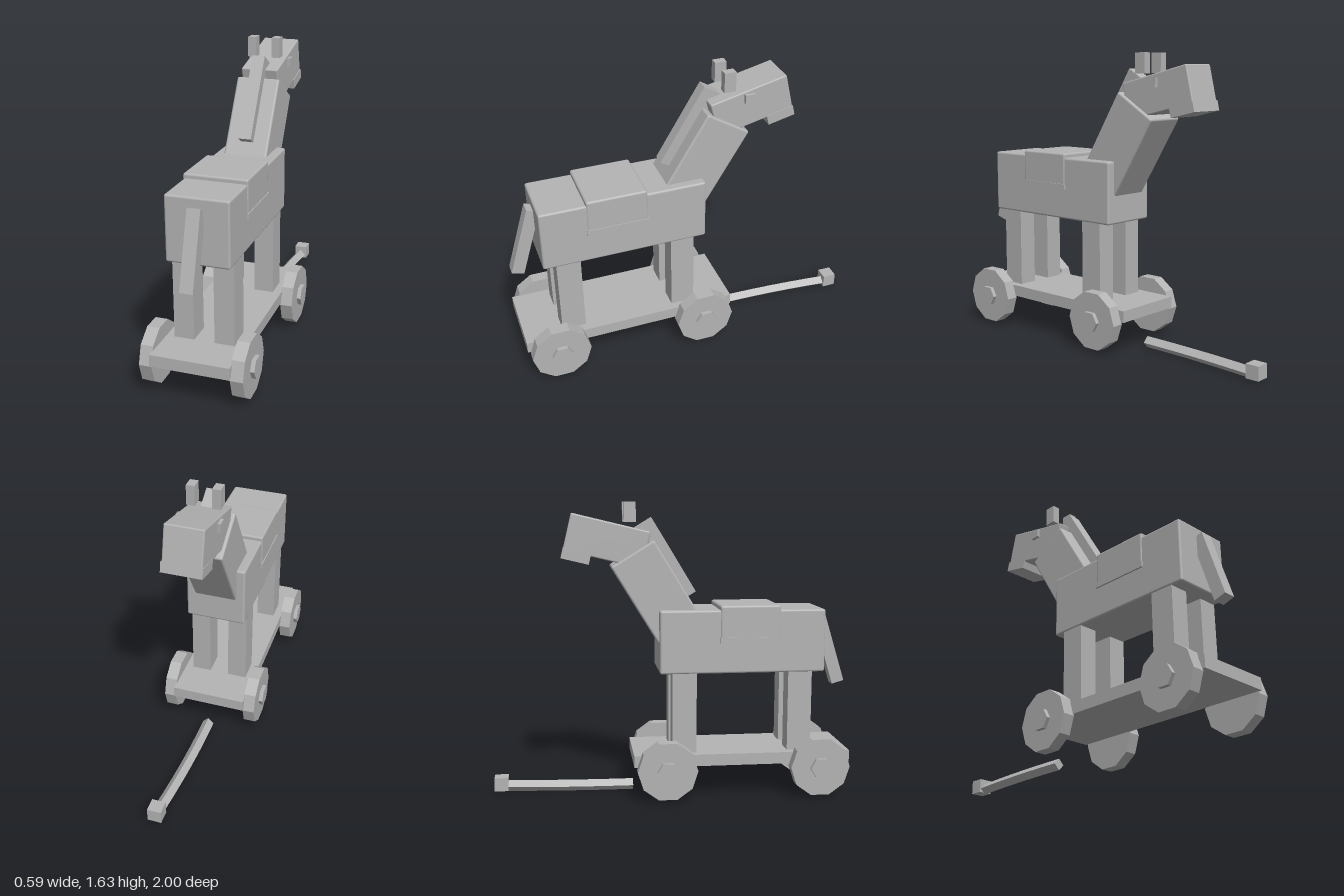
import * as THREE from 'three';
import { RoundedBoxGeometry } from 'three/addons/geometries/RoundedBoxGeometry.js';

const paint = new THREE.MeshStandardMaterial({ color: 0xb4b4b4 });
paint.name = 'plain grey';

// Split vertices so every face is shaded flat
function faceted(geometry) {
  const flat = geometry.toNonIndexed();
  flat.computeVertexNormals();
  return flat;
}

export function createModel() {
  const model = new THREE.Group();
  model.name = 'pullAlongHorse';

  function add(parent, name, geometry, position, tilt = 0) {
    const mesh = new THREE.Mesh(geometry, paint);
    mesh.name = name;
    mesh.position.set(...position);
    mesh.rotation.x = tilt;
    parent.add(mesh);
    return mesh;
  }
  const box = (w, h, d) => new THREE.BoxGeometry(w, h, d);
  const soft = (w, h, d, r = 0.012) => new RoundedBoxGeometry(w, h, d, 2, r);
  const disc = (r, width, sides) =>
    faceted(new THREE.CylinderGeometry(r, r, width, sides).rotateZ(Math.PI / 2));

  // Rolling platform
  add(model, 'platform', box(0.42, 0.065, 1.21), [0, 0.2225, 0.385]);

  // Legs, wheels and hubs, mirrored left and right
  for (const [side, s] of [['left', 1], ['right', -1]]) {
    for (const [end, legZ, wheelZ] of [['Front', 0.063, -0.04], ['Rear', 0.71, 0.81]]) {
      add(model, `${side}${end}Leg`, box(0.108, 0.47, 0.134), [s * 0.109, 0.485, legZ]);
      add(model, `${side}${end}Wheel`, disc(0.166, 0.067, 10), [s * 0.24, 0.18, wheelZ]);
      add(model, `${side}${end}Hub`, disc(0.059, 0.075, 6), [s * 0.258, 0.18, wheelZ]);
    }
  }

  // Body, saddle and tail
  add(model, 'body', soft(0.336, 0.35, 0.92), [0, 0.875, 0.387]);
  add(model, 'saddle', soft(0.346, 0.205, 0.335), [0, 0.9725, 0.427]);
  add(model, 'saddleFlapEdge', box(0.356, 0.03, 0.34), [0, 0.885, 0.427]);
  add(model, 'tail', box(0.07, 0.403, 0.07), [0, 0.805, 0.907], -0.296);

  // Neck and mane lean forward
  add(model, 'neck', soft(0.242, 0.55, 0.277), [0, 1.123, -0.073], -0.55);
  add(model, 'mane', box(0.07, 0.476, 0.11), [0, 1.318, -0.03], -0.545);

  // Head, with a jaw under the nose
  const head = new THREE.Group();
  head.name = 'head';
  head.position.set(0, 1.4255, -0.353);
  head.rotation.x = 0.235;
  model.add(head);
  add(head, 'skull', soft(0.208, 0.203, 0.44, 0.008), [0, 0, 0]);
  add(head, 'jaw', box(0.216, 0.056, 0.155), [0, -0.118, -0.144]);

  // Upright ears and square eyes
  for (const [side, s] of [['left', 1], ['right', -1]]) {
    add(model, `${side}Ear`, box(0.045, 0.11, 0.065), [s * 0.068, 1.58, -0.228]);
    add(model, `${side}Eye`, box(0.03, 0.05, 0.055), [s * 0.106, 1.48, -0.332]);
  }

  // Pull cord lying on the ground, with a wooden knob
  const cordPath = new THREE.QuadraticBezierCurve3(
    new THREE.Vector3(0, 0.036, -0.215),
    new THREE.Vector3(0, 0.036, -0.57),
    new THREE.Vector3(0.042, 0.036, -0.94)
  );
  add(model, 'pullCord', faceted(new THREE.TubeGeometry(cordPath, 6, 0.032, 4)), [0, 0, 0]);
  add(model, 'cordEnd', new THREE.CircleGeometry(0.032, 4), [0, 0.036, -0.215]);
  add(model, 'pullKnob', box(0.077, 0.077, 0.077), [0.042, 0.053, -0.96]);

  return model;
}
